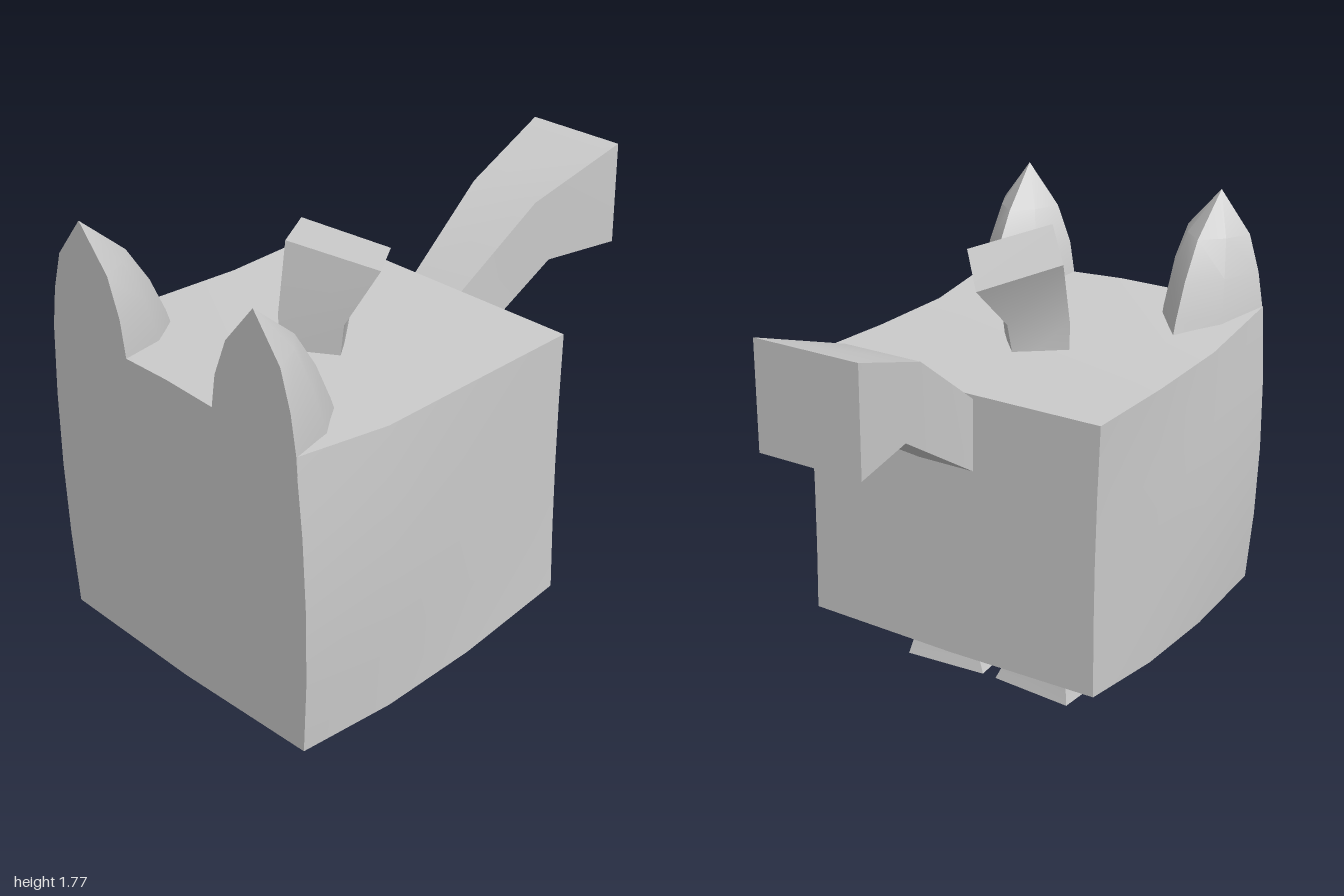
import * as THREE from 'three';
import { toCreasedNormals } from 'three/addons/utils/BufferGeometryUtils.js';

const material = new THREE.MeshStandardMaterial({ color: 0xcccccc });

// Closed skin through rings of [x, y, z] points, with both ends capped
function loft(name, rings) {
  const n = rings[0].length;
  const tris = [];
  for (let r = 0; r < rings.length - 1; r++) {
    for (let i = 0; i < n; i++) {
      const j = (i + 1) % n;
      const a = rings[r][i], b = rings[r][j], c = rings[r + 1][j], d = rings[r + 1][i];
      tris.push([a, b, c], [a, c, d]);
    }
  }
  const cap = (ring, flip) => {
    const mid = [0, 1, 2].map(k => ring.reduce((s, p) => s + p[k], 0) / n);
    ring.forEach((p, i) => {
      const q = ring[(i + 1) % n];
      tris.push(flip ? [mid, q, p] : [mid, p, q]);
    });
  };
  cap(rings[0], true);
  cap(rings[rings.length - 1], false);

  // Turn the faces outward whichever way the rings run
  const v = p => new THREE.Vector3(...p);
  const o = v(rings[0][0]);
  const volume = tris.reduce((s, [a, b, c]) =>
    s + v(a).sub(o).dot(v(b).sub(o).cross(v(c).sub(o))), 0);
  if (volume < 0) tris.forEach(t => t.reverse());

  const geometry = new THREE.BufferGeometry();
  geometry.setAttribute('position', new THREE.Float32BufferAttribute(tris.flat(2), 3));
  const mesh = new THREE.Mesh(toCreasedNormals(geometry, 0.45), material);
  mesh.name = name;
  return mesh;
}

// Boxy body, bulging at the face and narrowing to the back
function body() {
  // z, half width, side bulge, top at -x / middle / +x, bottom corner, bottom middle
  const sections = [
    [1, 0.612, 0.028, 1.345, 1.347, 1.315, 0.188, 0.17],
    [0.6, 0.61, 0.018, 1.285, 1.28, 1.265, 0.157, 0.153],
    [0.2, 0.607, 0.003, 1.275, 1.273, 1.273, 0.172, 0.166],
    [-0.24, 0.615, -0.008, 1.29, 1.29, 1.29, 0.247, 0.238],
  ];
  return loft('body', sections.map(([z, w, bulge, topR, topM, topL, low, lowM]) => {
    const side = (s, top) => [0, 0.25, 0.5, 0.75, 1].map(t =>
      [s * (w + bulge * 4 * t * (1 - t)), low + (top - low) * t, z]);
    return [[0, lowM, z], ...side(1, topL), [0, topM, z], ...side(-1, topR).reverse()];
  }));
}

// Ear: flat in front, with a ridge down the back
function ear(name, levels, tip, ridgeX) {
  const rings = levels.map(([y, left, right, back]) => {
    const mid = x => [x + (ridgeX - x) * 0.38, y, 1 - (1 - back) * 0.58];
    return [[left, y, 1], mid(left), [ridgeX, y, back], mid(right), [right, y, 1]];
  });
  rings.push(Array(5).fill([tip[0], tip[1], 1]));
  return loft(name, rings);
}

// Four-sided foot, flaring toward the ground and turned slightly
function leg(name, side, z) {
  const levels = [[0.22, 0.222, 0.265, 0.24], [0.12, 0.22, 0.275, 0.25], [0.06, 0.213, 0.295, 0.272], [0, 0.207, 0.335, 0.3]];
  const a = 0.075;
  return loft(name, levels.map(([y, cx, w, d]) =>
    [[1, 1], [-1, 1], [-1, -1], [1, -1]].map(([i, k]) => {
      const x = i * w / 2, dz = k * d / 2;
      return [side * (cx + x * Math.cos(a) + dz * Math.sin(a)), y, z - x * Math.sin(a) + dz * Math.cos(a)];
    })));
}

// Tail: bent beam that widens to a square end
function tail() {
  // top z, top y, bottom z, bottom y, half width
  const sections = [
    [-0.2, 1.245, -0.2, 0.975, 0.112], [-0.24, 1.275, -0.24, 1.0, 0.115],
    [-0.6, 1.535, -0.69, 1.28, 0.152], [-1, 1.67, -1, 1.275, 0.205],
  ];
  return loft('tail', sections.map(([tz, ty, bz, by, w]) =>
    [[0.008 - w, ty, tz], [0.008 + w, ty, tz], [0.008 + w, by, bz], [0.008 - w, by, bz]]));
}

// Twisted post on the head, leaning and tilted at the top
function post() {
  return loft('headPost', [
    [[0, 1.2, 0.5], [0.155, 1.2, 0.39], [0.02, 1.2, 0.235], [-0.14, 1.2, 0.36]],
    [[0, 1.41, 0.52], [0.18, 1.39, 0.385], [0.04, 1.38, 0.21], [-0.145, 1.39, 0.345]],
    [[0.03, 1.69, 0.503], [0.285, 1.6, 0.314], [0.08, 1.54, 0.064], [-0.17, 1.635, 0.25]],
  ]);
}

export function createModel() {
  const group = new THREE.Group();
  group.name = 'boxAnimal';
  group.add(body(), tail(), post());
  // level: y, outer x, inner x, ridge z
  group.add(
    ear('rightEar', [[1.27, -0.612, -0.205, 0.65], [1.345, -0.61, -0.21, 0.675],
      [1.48, -0.585, -0.23, 0.735], [1.62, -0.54, -0.28, 0.825]], [-0.413, 1.775], -0.41),
    ear('leftEar', [[1.25, 0.618, 0.215, 0.65], [1.32, 0.615, 0.22, 0.675],
      [1.46, 0.595, 0.245, 0.735], [1.6, 0.555, 0.305, 0.82]], [0.44, 1.755], 0.42),
  );
  for (const [side, label] of [[1, 'Left'], [-1, 'Right']]) {
    group.add(leg('front' + label + 'Leg', side, 0.597), leg('back' + label + 'Leg', side, 0.167));
  }
  return group;
}
